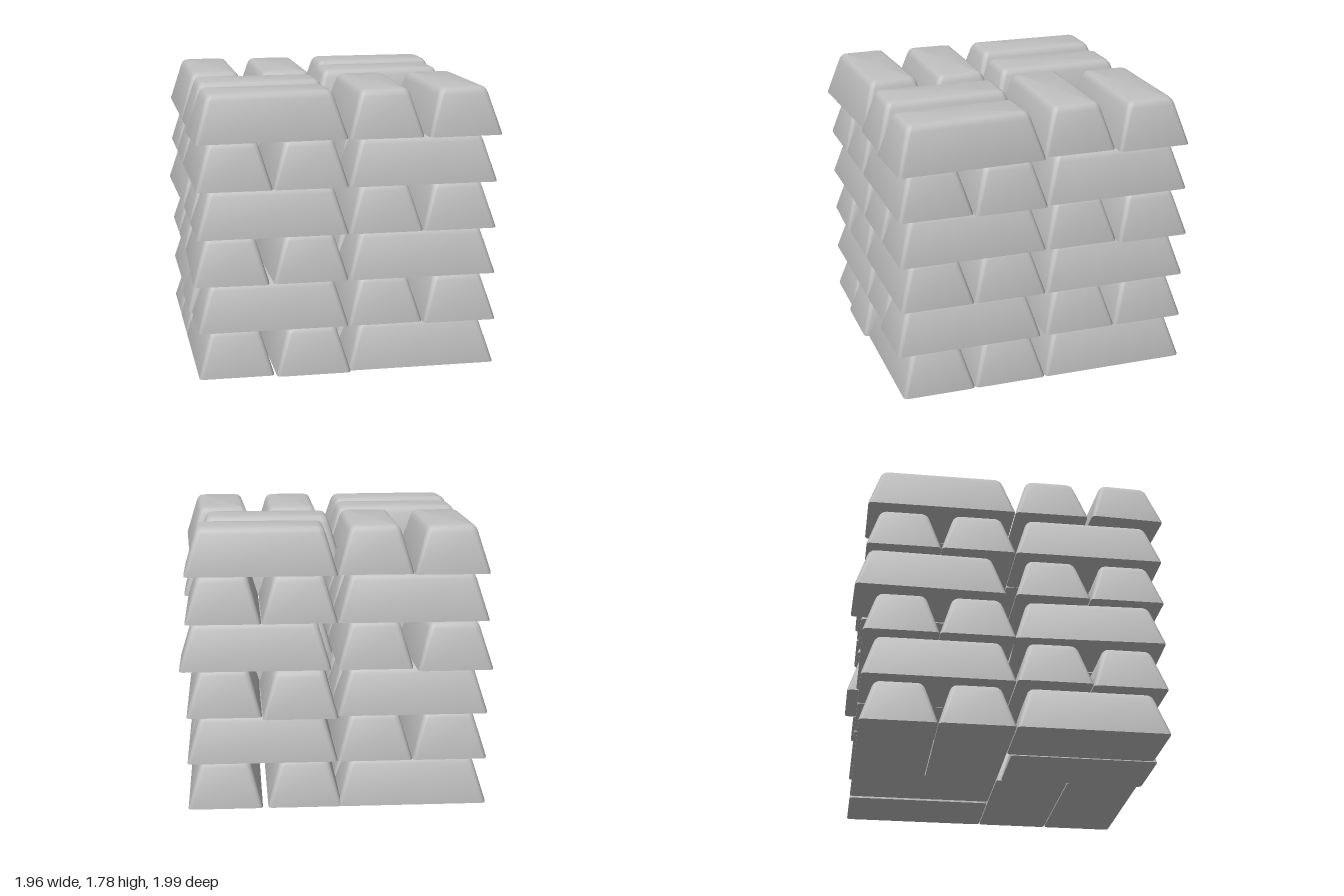
import * as THREE from 'three';
import { toCreasedNormals } from 'three/addons/utils/BufferGeometryUtils.js';

const LENGTH = 0.945, WIDTH = 0.47, STEP = 0.298;

// Rounded rectangle outline at height y, pulled in by inset
function ring(y, inset, radius) {
  const hx = LENGTH / 2 - inset, hz = WIDTH / 2 - inset, pts = [];
  const corners = [[1, 1], [-1, 1], [-1, -1], [1, -1]];
  corners.forEach(([sx, sz], q) => {
    for (let i = 0; i <= 4; i++) {
      const a = (q + i / 4) * Math.PI / 2;
      pts.push([sx * (hx - radius) + radius * Math.cos(a), y, sz * (hz - radius) + radius * Math.sin(a)]);
    }
  });
  return pts;
}

// Tapered bar with soft upper edges and a flat, sharp-edged base
function barGeometry() {
  const rings = [ring(0, 0, 0.025), ring(0.01, 0, 0.025), ring(0.25, 0.07, 0.035),
    ring(0.273, 0.079, 0.035), ring(0.289, 0.093, 0.03), ring(0.295, 0.113, 0.02)];
  const n = rings[0].length, pos = rings.flat(2), index = [];
  for (let r = 0; r < rings.length - 1; r++) {
    for (let i = 0; i < n; i++) {
      const a = r * n + i, b = r * n + (i + 1) % n;
      index.push(a, a + n, b, b, a + n, b + n);
    }
  }
  const bottom = rings.length * n, top = bottom + 1, last = bottom - n;
  pos.push(0, 0, 0, 0, 0.295, 0);
  for (let i = 0; i < n; i++) {
    const j = (i + 1) % n;
    index.push(bottom, i, j, top, last + j, last + i);
  }
  const g = new THREE.BufferGeometry();
  g.setAttribute('position', new THREE.Float32BufferAttribute(pos, 3));
  g.setIndex(index);
  return toCreasedNormals(g, 0.65);
}

// Small misplacements [dx, dz, turn], keyed by layer, quadrant and outer/inner bar
const NUDGES = {
  '0FLi': [0.01, 0.03, 0], '0BRi': [-0.03, 0, 0],
  '1FLi': [-0.02, 0, 0], '1FRo': [0, 0.03, 0],
  '2FLo': [-0.01, 0, -0.035], '2BRi': [0, -0.06, 0],
  '3BLo': [-0.01, -0.065, 0.02], '3BRo': [0.04, 0, 0],
  '4FRi': [0.03, 0, 0],
  '5BLi': [0, 0.025, 0], '5BRo': [0, -0.005, 0], '5BRi': [-0.055, 0, 0],
  '5FLo': [-0.01, 0, 0.045], '5FRo': [0.008, 0.01, 0.04],
};

export function createModel() {
  const model = new THREE.Group();
  model.name = 'ingotStack';
  const metal = new THREE.MeshStandardMaterial({ color: 0xbfbfbf });
  metal.name = 'greyMetal';
  const geometry = barGeometry();

  // Each layer has four pairs of bars in a pinwheel that flips every layer
  for (let layer = 0; layer < 6; layer++) {
    const group = new THREE.Group();
    group.name = `layer${layer + 1}`;
    group.position.y = layer * STEP;
    for (const sx of [-1, 1]) for (const sz of [-1, 1]) for (const outer of [true, false]) {
      const alongX = (sx * sz < 0) === (layer % 2 === 1);
      const side = outer ? 0.2375 : -0.2375;
      const key = layer + (sz > 0 ? 'F' : 'B') + (sx > 0 ? 'R' : 'L') + (outer ? 'o' : 'i');
      const [dx, dz, turn] = NUDGES[key] || [0, 0, 0];
      const bar = new THREE.Mesh(geometry, metal);
      bar.name = 'ingot';
      bar.position.set(
        -0.01 + sx * (0.475 + (alongX ? 0 : side)) + dx, 0,
        0.02 + sz * (0.475 + (alongX ? side : 0)) + dz);
      bar.rotation.y = (alongX ? 0 : Math.PI / 2) + turn;
      group.add(bar);
    }
    model.add(group);
  }
  return model;
}
